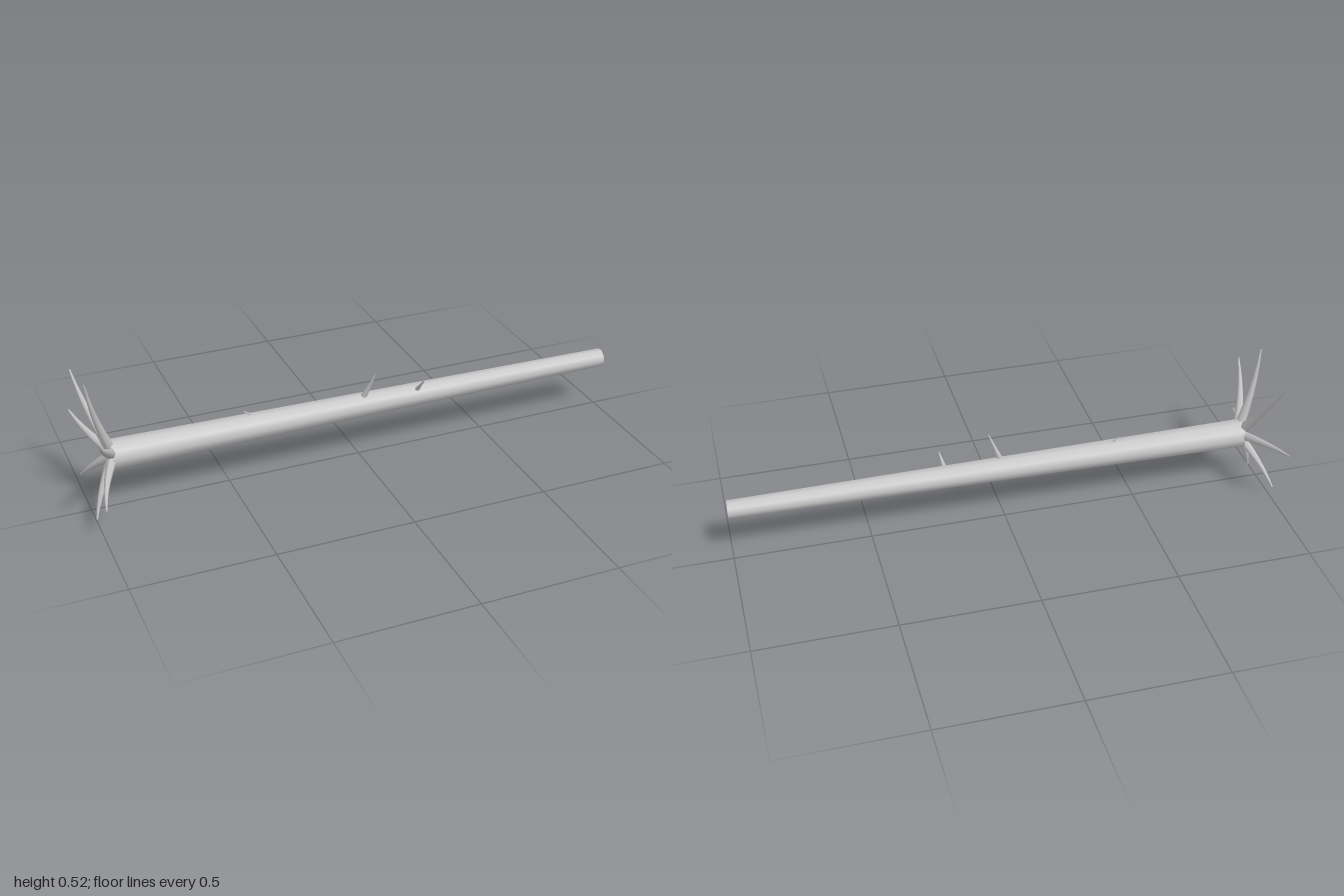
import * as THREE from 'three';

const bark = new THREE.MeshStandardMaterial({ color: 0xc6c6c6, side: THREE.DoubleSide });
bark.name = 'pale grey bark';

// Tapered tube along a quadratic curve
function limb(name, a, b, c, r0, r1, segments = 6, sides = 6) {
  const curve = new THREE.QuadraticBezierCurve3(a, b, c);
  const geo = new THREE.TubeGeometry(curve, segments, 1, sides, false);
  const pos = geo.attributes.position;
  const v = new THREE.Vector3();
  for (let i = 0; i < pos.count; i++) {
    const t = Math.floor(i / (sides + 1)) / segments;
    const centre = curve.getPointAt(t);
    v.fromBufferAttribute(pos, i).sub(centre);
    v.multiplyScalar(THREE.MathUtils.lerp(r0, r1, t)).add(centre);
    pos.setXYZ(i, v.x, v.y, v.z);
  }
  const mesh = new THREE.Mesh(geo, bark);
  mesh.name = name;
  return mesh;
}

export function createModel() {
  const group = new THREE.Group();
  group.name = 'fallenTree';
  const V = (x, y, z) => new THREE.Vector3(x, y, z);

  // Hollow trunk, open at both ends, drifting slightly in z
  const trunkGeo = new THREE.CylinderGeometry(0.035, 0.055, 1.92, 10, 3, true);
  trunkGeo.rotateZ(-Math.PI / 2);
  const pos = trunkGeo.attributes.position;
  for (let i = 0; i < pos.count; i++) {
    const t = pos.getX(i) / 1.92 + 0.5;
    pos.setZ(i, pos.getZ(i) + 0.005 + 0.011 * t);
  }
  trunkGeo.translate(0.04, 0.209, 0);
  const trunk = new THREE.Mesh(trunkGeo, bark);
  trunk.name = 'trunk';
  group.add(trunk);

  // Seven roots flaring out from the thick end
  const roots = new THREE.Group();
  roots.name = 'roots';
  for (let i = 0; i < 7; i++) {
    const angle = (i / 7) * Math.PI * 2;
    const base = V(-0.905, 0.209, 0.006);
    const tip = V(-0.997, 0.265 + 0.268 * Math.sin(angle), 0.009 - 0.268 * Math.cos(angle));
    const bend = base.clone().lerp(tip, 0.5).setX(-0.973);
    roots.add(limb('root', base, bend, tip, 0.021, 0.003));
  }
  group.add(roots);

  // Broken twigs growing from the trunk's core
  const twigs = [
    [V(-0.003, 0.209, 0.011), V(0.048, 0.34, 0.045), 0.015],
    [V(0.21, 0.209, 0.012), V(0.229, 0.286, 0.066), 0.013],
    [V(-0.35, 0.209, 0.008), V(-0.435, 0.273, 0.005), 0.011],
  ];
  for (const [base, tip, r] of twigs) {
    group.add(limb('twig', base, base.clone().lerp(tip, 0.5), tip, r, 0.002, 3));
  }
  return group;
}
